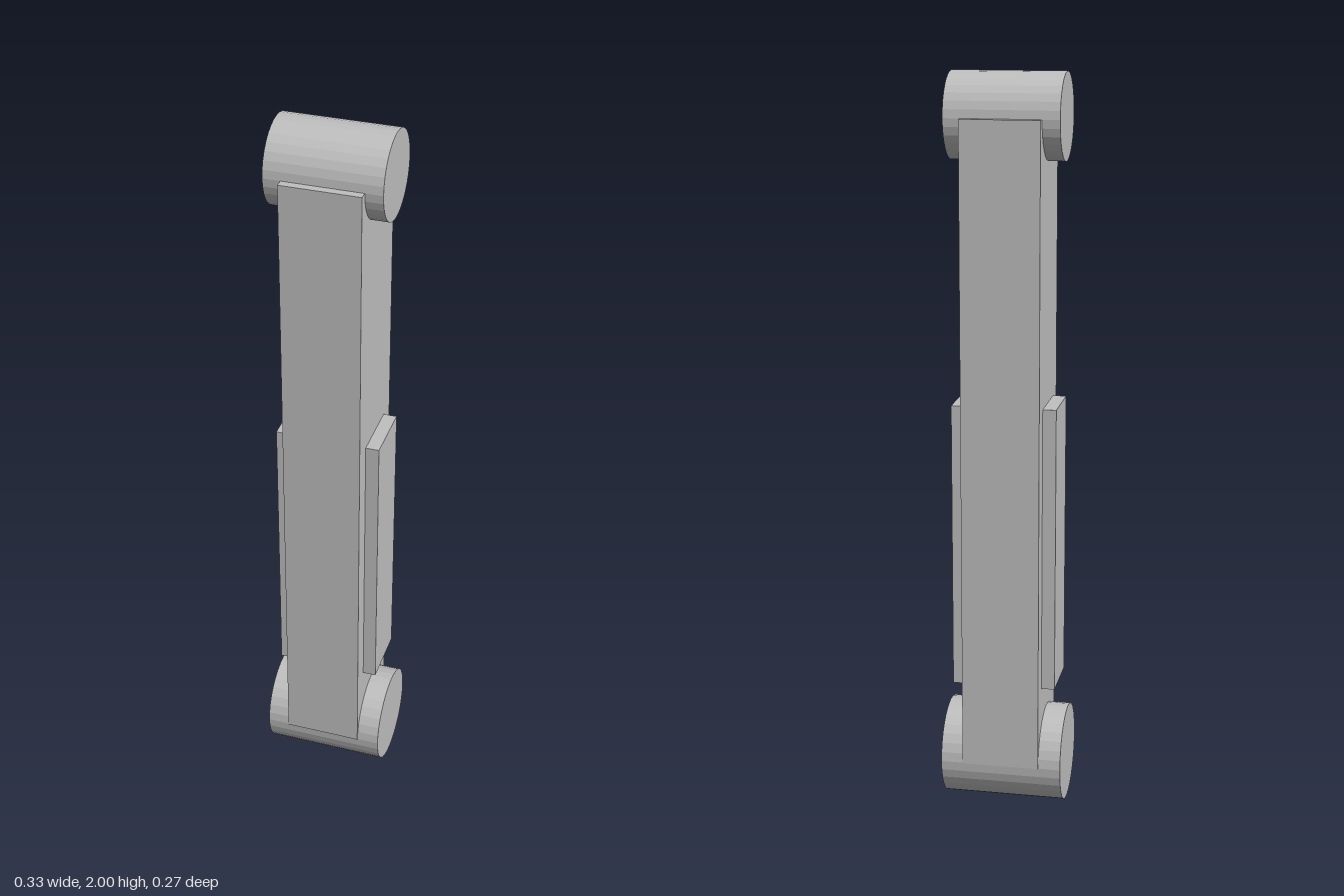
import * as THREE from 'three';

export function createModel() {
  const model = new THREE.Group();
  const grey = new THREE.MeshStandardMaterial({ color: 0xbfbfbf, flatShading: true });
  grey.name = 'light grey';

  const add = (name, geometry, x, y) => {
    const mesh = new THREE.Mesh(geometry, grey);
    mesh.name = name;
    mesh.position.set(x, y, 0);
    model.add(mesh);
  };

  // Joint barrel lying along x
  const barrel = (name, radius, length, y) =>
    add(name, new THREE.CylinderGeometry(radius, radius, length, 32).rotateZ(Math.PI / 2), 0, y);

  // Main beam runs between the two joint axes
  const bottom = 0.133, top = 1.886;
  add('beam', new THREE.BoxGeometry(0.21, top - bottom, 0.272), 0, (top + bottom) / 2);

  barrel('lowerJoint', 0.133, 0.331, bottom);
  barrel('upperJoint', 0.114, 0.302, top);

  // Raised side panels, sunk slightly into the beam
  for (const side of [1, -1]) {
    add(side > 0 ? 'leftPanel' : 'rightPanel',
      new THREE.BoxGeometry(0.045, 0.785, 0.165), side * 0.1185, 0.74);
  }

  return model;
}
